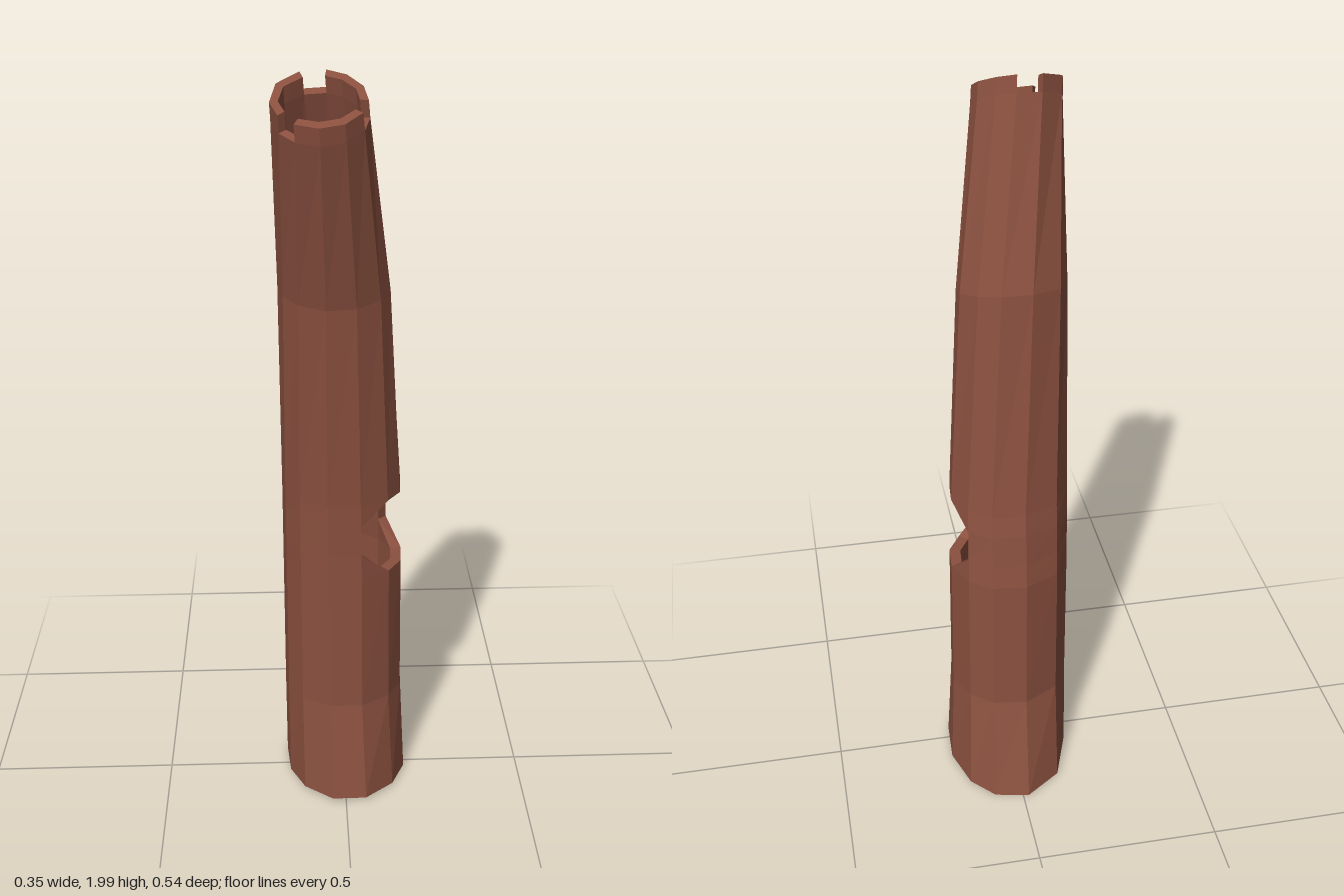
import * as THREE from 'three';

// Column angles in degrees, counted from the back (-z) towards +x
const ANGLES = [-45, -8, 24, 50, 80, 108, 133, 164, 195, 225, 250, 277];
const N = ANGLES.length;

// Cross-sections: y, centre x, centre z, radius x, radius z, slope dy/dz, twist, wall
const SECTIONS = [
  [0.013, 0.008, -0.04, 0.172, 0.233, 0.02, 0, 0.032],
  [0.295, 0, -0.022, 0.165, 0.168, 0, 0, 0.03],
  [0.69, -0.002, -0.013, 0.163, 0.155, 0, 0, 0.03],
  [0.755, -0.003, -0.008, 0.162, 0.149, 0, 0, 0.03],
  [0.84, -0.004, -0.002, 0.161, 0.143, 0, 0, 0.03],
  [0.9, -0.005, 0.004, 0.16, 0.137, 0, 0, 0.03],
  [1.475, -0.025, 0.058, 0.141, 0.115, -0.27, -5, 0.025],
  [1.91, -0.06, 0.175, 0.114, 0.092, -0.55, -14, 0.02],
  [1.951, -0.063, 0.183, 0.113, 0.091, -0.55, -14, 0.02],
];
const RIM = SECTIONS.length - 2;      // band of broken teeth
const GAPS = [1, 5, 9];               // columns where the rim is broken away
const HOLE = { c0: 3, c1: 6, r0: 2, r1: 4 };

function point(i, j, inner) {
  const [y, cx, cz, rx, rz, slope, twist, wall] = SECTIONS[j];
  const a = THREE.MathUtils.degToRad(ANGLES[i % N] + twist);
  const t = inner ? wall : 0;
  const dz = -Math.cos(a) * (rz - t);
  return [cx + Math.sin(a) * (rx - t), y + dz * slope, cz + dz];
}

// Corners kept in a cell: none in gaps, three where the hole's corner is cut
function cell(i, j) {
  const n = (i + 1) % N;
  const corners = [[n, j], [i, j], [i, j + 1], [n, j + 1]];
  if (j === RIM && GAPS.includes(i)) return [];
  const { c0, c1, r0, r1 } = HOLE;
  if (i < c0 || i > c1 || j < r0 || j > r1) return corners;
  const first = i === c0, last = i === c1;
  if (!(first || last) || (j !== r0 && j !== r1)) return [];
  const drop = j === r0 ? (first ? 3 : 2) : (first ? 0 : 1);
  return corners.filter((_, k) => k !== drop);
}

function shellGeometry() {
  const pos = [];
  const edges = new Map();
  const face = (pts) => {
    for (let k = 1; k < pts.length - 1; k++) pos.push(...pts[0], ...pts[k], ...pts[k + 1]);
  };

  // Outer bark and inner surface
  for (let j = 0; j < SECTIONS.length - 1; j++) {
    for (let i = 0; i < N; i++) {
      const c = cell(i, j);
      if (!c.length) continue;
      face(c.map(([u, v]) => point(u, v, false)));
      face(c.map(([u, v]) => point(u, v, true)).reverse());
      c.forEach((a, k) => {
        const b = c[(k + 1) % c.length];
        edges.set(`${a}|${b}`, [a, b]);
      });
    }
  }

  // Wall thickness along every open edge: base, hole and rim
  for (const [a, b] of edges.values()) {
    if (edges.has(`${b}|${a}`)) continue;
    face([point(...b, false), point(...a, false), point(...a, true), point(...b, true)]);
  }

  const g = new THREE.BufferGeometry();
  g.setAttribute('position', new THREE.Float32BufferAttribute(pos, 3));
  g.computeVertexNormals();
  return g;
}

export function createModel() {
  const group = new THREE.Group();
  group.name = 'hollowTrunk';
  const bark = new THREE.MeshStandardMaterial({ color: 0x8a503f, flatShading: true });
  const trunk = new THREE.Mesh(shellGeometry(), bark);
  trunk.name = 'trunkShell';
  group.add(trunk);
  return group;
}
